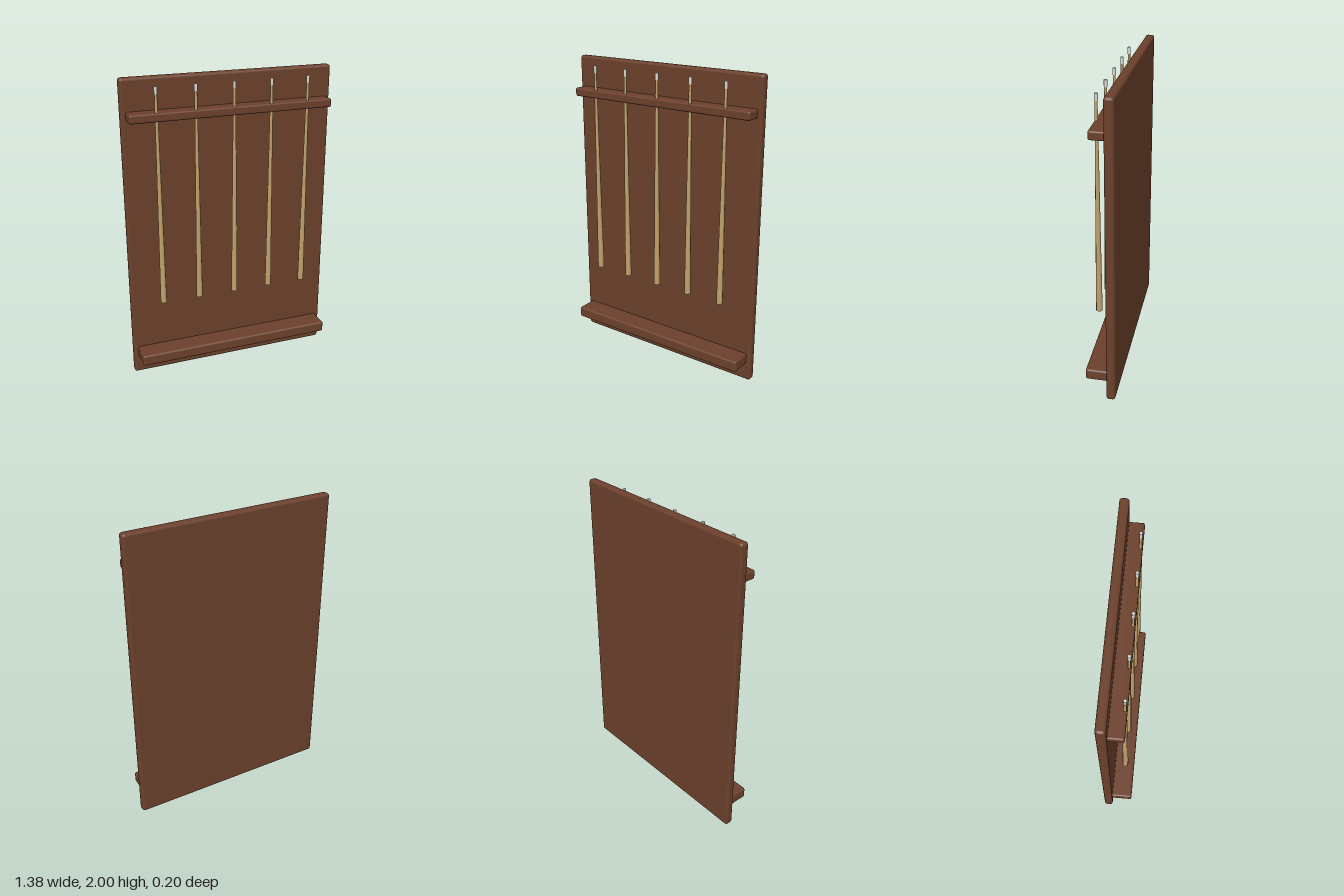
import * as THREE from 'three';
import { RoundedBoxGeometry } from 'three/addons/geometries/RoundedBoxGeometry.js';

export function createModel() {
  const group = new THREE.Group();
  group.name = 'cueRack';

  const material = (name, color) => {
    const m = new THREE.MeshStandardMaterial({ color });
    m.name = name;
    return m;
  };
  const darkWood = material('darkWood', 0x6b402b);
  const paleWood = material('paleWood', 0xc2a26c);
  const ferruleWhite = material('ferruleWhite', 0xdcdcd6);

  // Rounded plank given by its half width and its y and z limits
  const plank = (name, halfWidth, y0, y1, z0, z1, radius) => {
    const geometry = new RoundedBoxGeometry(halfWidth * 2, y1 - y0, z1 - z0, 3, radius);
    const mesh = new THREE.Mesh(geometry, darkWood);
    mesh.name = name;
    mesh.position.set(0, (y0 + y1) / 2, (z0 + z1) / 2);
    group.add(mesh);
  };
  plank('backBoard', 0.69, 0, 2, -0.098, -0.04, 0.018);
  plank('upperRail', 0.66, 1.745, 1.8, -0.05, 0.053, 0.012);
  plank('lowerShelf', 0.66, 0.12, 0.195, -0.05, 0.098, 0.014);

  // Five tapered cues held by the upper rail, each with a pale tip
  const shaftBottom = 0.545, shaftTop = 1.913, tipTop = 1.957;
  const shaft = new THREE.CylinderGeometry(0.0085, 0.021, shaftTop - shaftBottom, 8);
  const tip = new THREE.CylinderGeometry(0.0105, 0.0105, tipTop - shaftTop, 8);
  for (let i = 0; i < 5; i++) {
    const cue = new THREE.Group();
    cue.name = 'cue' + (i + 1);
    cue.position.set((i - 2) * 0.246, 0, 0.04);
    const shaftMesh = new THREE.Mesh(shaft, paleWood);
    shaftMesh.name = 'cueShaft';
    shaftMesh.position.y = (shaftBottom + shaftTop) / 2;
    const tipMesh = new THREE.Mesh(tip, ferruleWhite);
    tipMesh.name = 'cueTip';
    tipMesh.position.y = (shaftTop + tipTop) / 2;
    cue.add(shaftMesh, tipMesh);
    group.add(cue);
  }
  return group;
}
